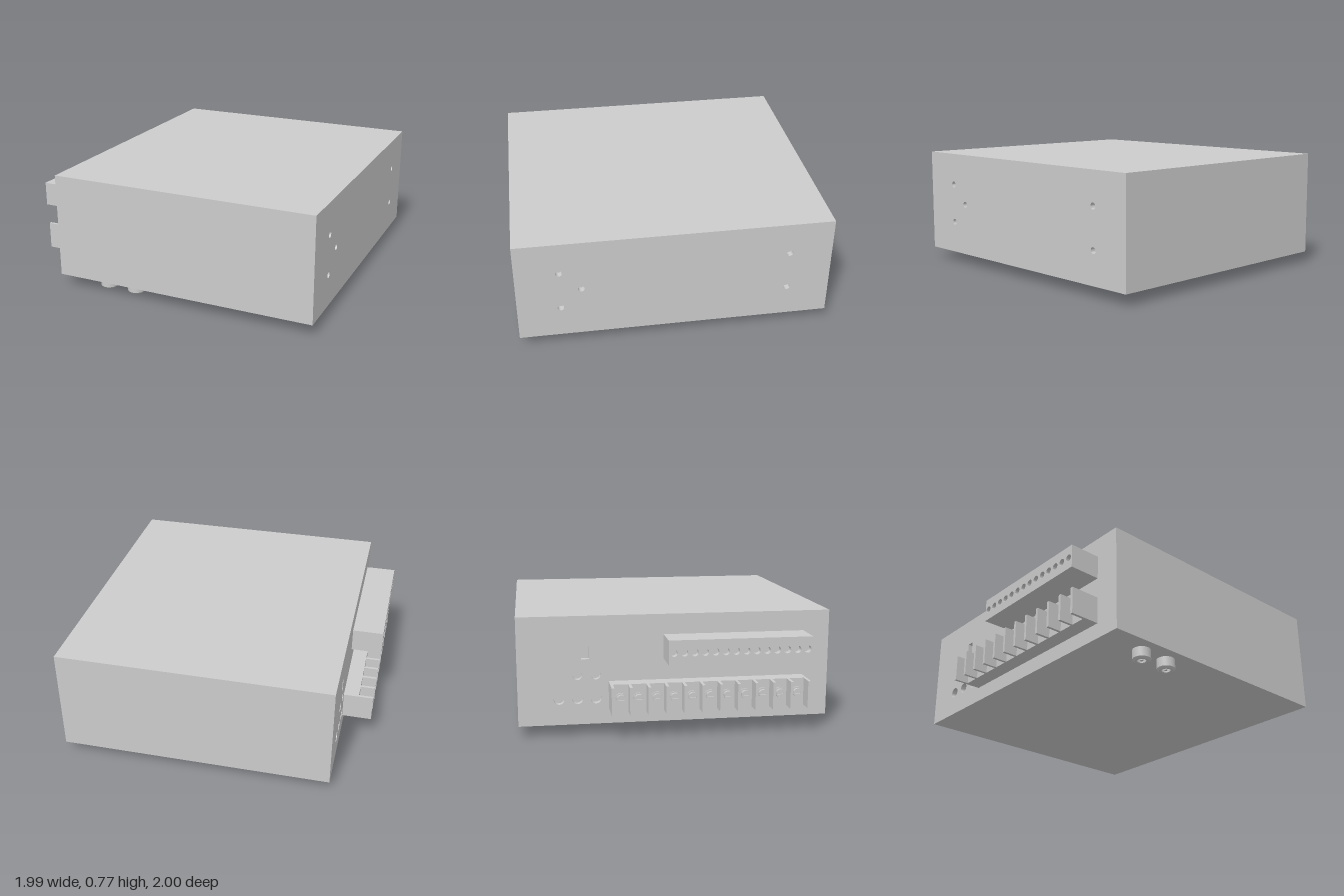
import * as THREE from 'three';
import { toCreasedNormals } from 'three/addons/utils/BufferGeometryUtils.js';

const grey = new THREE.MeshStandardMaterial({ color: 0xcccccc });

function add(parent, name, geometry) {
  const mesh = new THREE.Mesh(geometry, grey);
  mesh.name = name;
  parent.add(mesh);
  return mesh;
}

// Box given by its lower and upper corners
function block(x0, x1, y0, y1, z0, z1) {
  return new THREE.BoxGeometry(x1 - x0, y1 - y0, z1 - z0)
    .translate((x0 + x1) / 2, (y0 + y1) / 2, (z0 + z1) / 2);
}

// Outlines lie in the z-y plane; the shape's own x axis is -z
function rect(y0, y1, z0, z1, Kind = THREE.Shape) {
  return new Kind([[-z1, y0], [-z0, y0], [-z0, y1], [-z1, y1]].map(([a, b]) => new THREE.Vector2(a, b)));
}

function disc(y, z, r, Kind = THREE.Shape) {
  const path = new Kind();
  path.absarc(-z, y, r, 0, Math.PI * 2, false);
  return path;
}

// Plate of the given outline from x0 to x1, with openings cut through
function plate(outline, holes, x0, x1) {
  outline.holes.push(...holes);
  const geometry = new THREE.ExtrudeGeometry(outline, { depth: x1 - x0, bevelEnabled: false, curveSegments: 12 });
  return toCreasedNormals(geometry.rotateY(Math.PI / 2).translate(x0, 0, 0), 0.7);
}

const hole = (y, z, r) => disc(y, z, r, THREE.Path);

export function createModel() {
  const model = new THREE.Group();
  const bottom = 0.075, top = 0.77;

  // Housing: a core with a drilled plate on either side
  const housing = new THREE.Group();
  housing.name = 'housing';
  model.add(housing);
  add(housing, 'housingCore', block(-0.75, 0.95, bottom, top, -1, 1));

  const mountingHoles = [[0.555, 0.727], [0.29, 0.727], [0.425, 0.593], [0.555, -0.725], [0.29, -0.725]]
    .map(([y, z]) => hole(y, z, 0.021));
  add(housing, 'mountingSide', plate(rect(bottom, top, -1, 1), mountingHoles, 0.95, 0.99));

  const sockets = [
    rect(0.495, 0.575, -0.6, -0.55, THREE.Path),
    ...[-0.626, -0.51].map((z) => hole(0.393, z, 0.03)),
    ...[-0.742, -0.626, -0.51].map((z) => hole(0.242, z, 0.035)),
  ];
  add(housing, 'connectionSide', plate(rect(bottom, top, -1, 1), sockets, -0.79, -0.75));

  // Upper connector with a row of wire openings
  const connector = new THREE.Group();
  connector.name = 'plugConnector';
  model.add(connector);
  const openings = 14, z0 = -0.08, z1 = 0.83;
  const pitch = (z1 - z0) / openings;
  const wireHoles = Array.from({ length: openings }, (_, i) => hole(0.56, z0 + (i + 0.5) * pitch, 0.023));
  add(connector, 'connectorBody', block(-0.95, -0.79, 0.485, 0.64, z0, z1));
  add(connector, 'connectorFace', plate(rect(0.485, 0.64, z0, z1), wireHoles, -0.995, -0.95));

  // Lower barrier strip: base, dividing fins and a screw in each bay
  const strip = new THREE.Group();
  strip.name = 'barrierStrip';
  model.add(strip);
  add(strip, 'stripBase', block(-0.89, -0.79, 0.175, 0.35, -0.43, 0.83));
  const bays = 11, step = (1.26 - 0.018) / bays;
  for (let i = 0; i <= bays; i++) {
    const z = -0.43 + i * step;
    add(strip, 'fin', block(-0.985, -0.89, 0.175, 0.35, z, z + 0.018));
    if (i === bays) break;
    const screw = new THREE.Group();
    screw.name = 'terminalScrew';
    screw.position.set(0, 0.262, z + 0.009 + step / 2);
    strip.add(screw);
    add(screw, 'shank', plate(disc(0, 0, 0.018), [], -0.9, -0.89));
    add(screw, 'washer', plate(disc(0, 0, 0.037), [], -0.908, -0.9));
    add(screw, 'headBase', plate(disc(0, 0, 0.028), [], -0.917, -0.908));
    const slot = rect(-0.005, 0.005, -0.02, 0.02, THREE.Path);
    add(screw, 'slottedHead', plate(disc(0, 0, 0.028), [slot], -0.928, -0.917));
  }

  // Two round sockets under the front edge
  const profile = [[0, 0.03], [0.028, 0.03], [0.028, 0.004], [0.034, 0], [0.045, 0], [0.058, 0.012], [0.058, 0.08]]
    .map(([r, y]) => new THREE.Vector2(r, y));
  for (const x of [-0.485, -0.278]) {
    const socket = new THREE.Group();
    socket.name = 'roundSocket';
    socket.position.set(x, 0, 0.885);
    model.add(socket);
    add(socket, 'socketShell', toCreasedNormals(new THREE.LatheGeometry(profile, 24), 0.5));
    add(socket, 'socketPin', new THREE.CylinderGeometry(0.01, 0.01, 0.025, 12).translate(0, 0.0175, 0));
  }

  return model;
}
